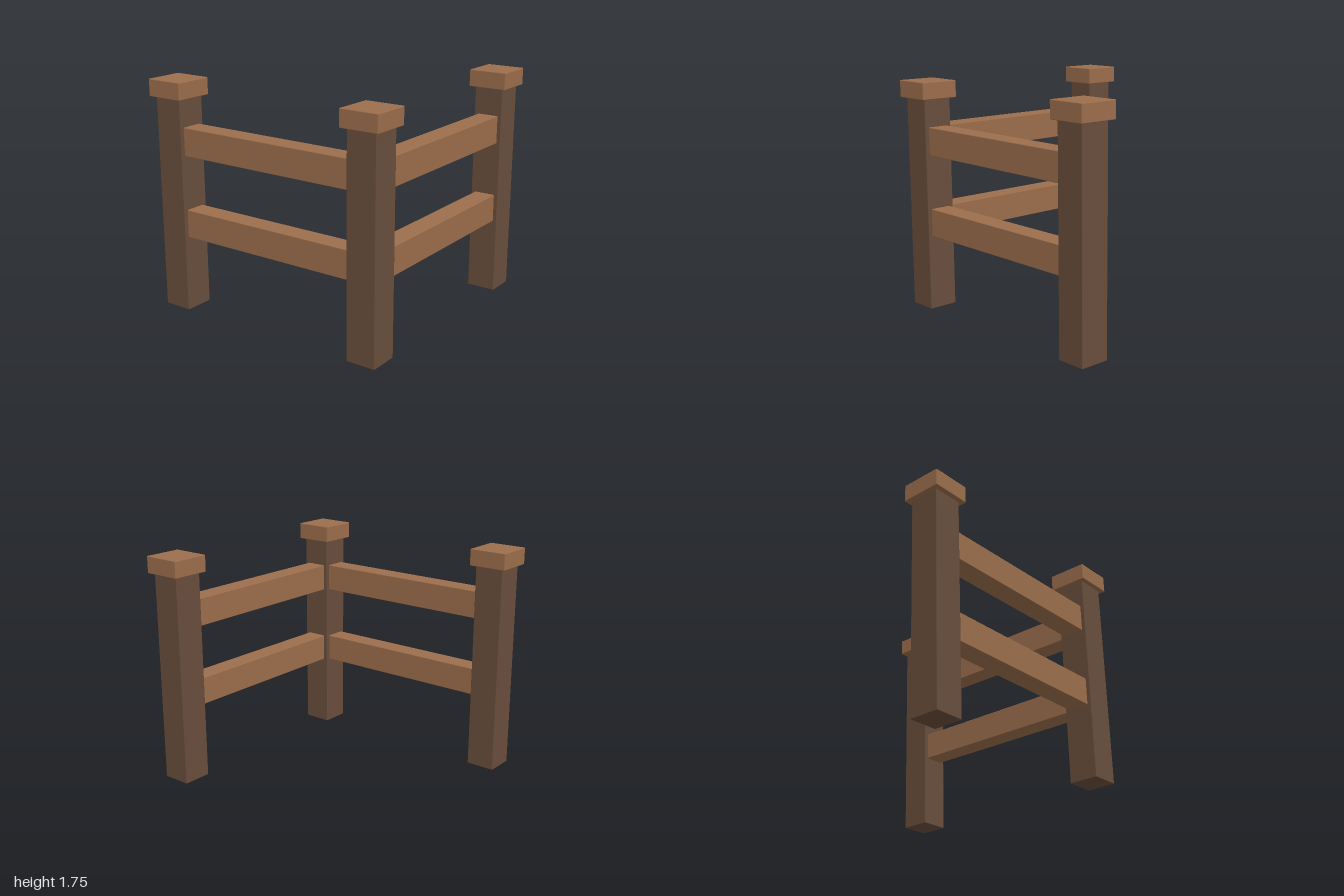
import * as THREE from 'three';
import { RoundedBoxGeometry } from 'three/addons/geometries/RoundedBoxGeometry.js';

export function createModel() {
  const model = new THREE.Group();
  model.name = 'cornerFence';
  const darkWood = new THREE.MeshStandardMaterial({ color: 0x694e3c });
  const lightWood = new THREE.MeshStandardMaterial({ color: 0x9c6e4c });

  // Beam with a fine bevel, placed by its bottom height
  const beam = (name, material, [w, h, d], [x, bottom, z]) => {
    const mesh = new THREE.Mesh(new RoundedBoxGeometry(w, h, d, 1, 0.006), material);
    mesh.name = name;
    mesh.position.set(x, bottom + h / 2, z);
    model.add(mesh);
  };

  // Three posts with caps: front right, front corner, back left
  const c = 0.848;
  const posts = { frontRight: [-c, c], corner: [c, c], backLeft: [c, -c] };
  for (const [name, [x, z]] of Object.entries(posts)) {
    beam(`${name}Post`, darkWood, [0.23, 1.63, 0.23], [x, 0, z]);
    beam(`${name}Cap`, lightWood, [0.3, 0.13, 0.3], [x, 1.625, z]);
  }

  // Two rails on each run, their ends set into the posts
  const length = 1.5, height = 0.215, thickness = 0.165;
  for (const [level, y] of [['lower', 0.575], ['upper', 1.2]]) {
    beam(`${level}FrontRail`, lightWood, [length, height, thickness], [0, y, c]);
    beam(`${level}SideRail`, lightWood, [thickness, height, length], [c, y, 0]);
  }
  return model;
}
